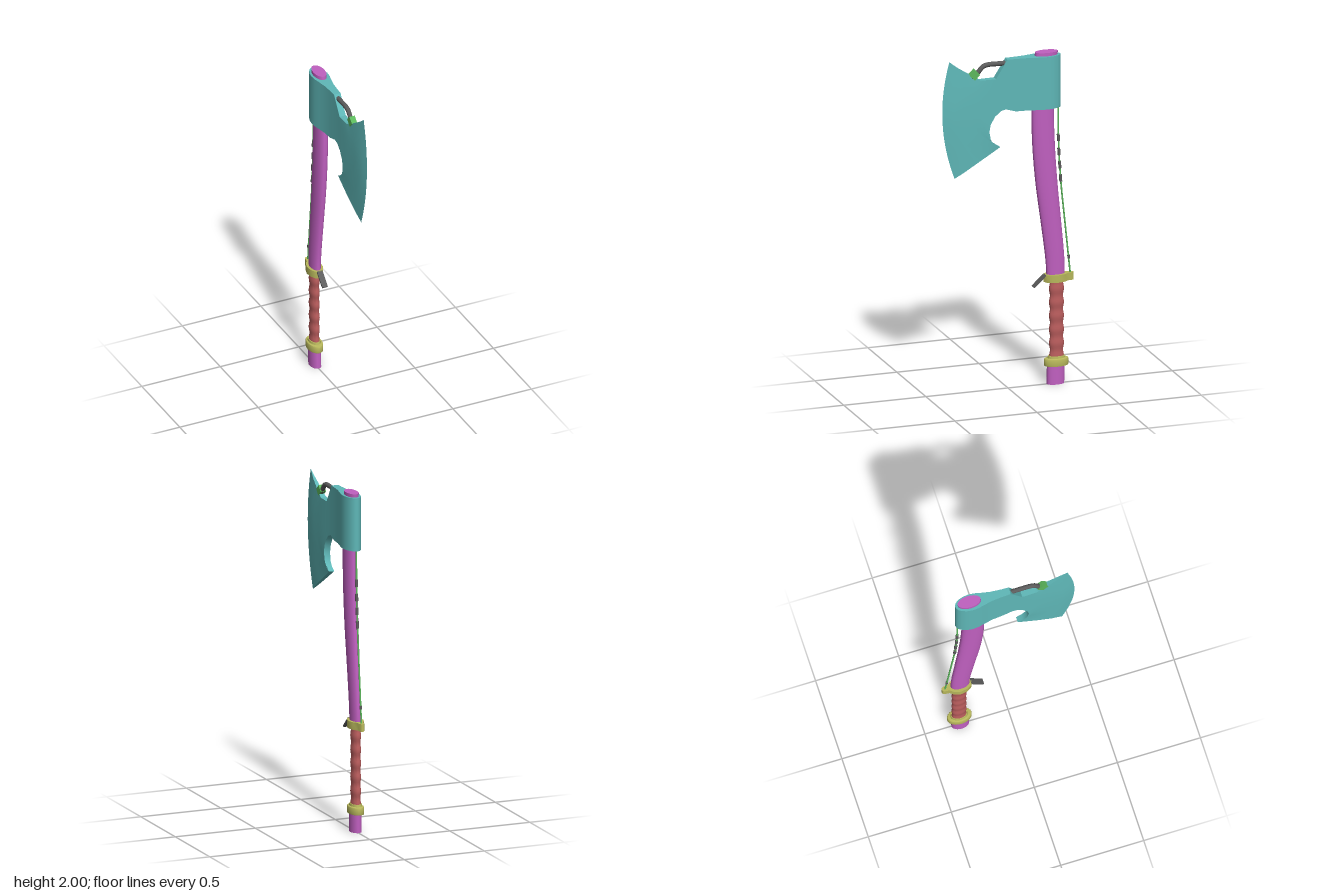
import * as THREE from 'three';
import { toCreasedNormals } from 'three/addons/utils/BufferGeometryUtils.js';

const mat = (color) => new THREE.MeshStandardMaterial({ color });
const WOOD = mat(0xc060c0), STEEL = mat(0x5fb8b8), GRIP = mat(0xb85c5c);
const BRASS = mat(0xb8b85c), CORD = mat(0x5cb85c), DARK = mat(0x5c5c5c);
const v = (x, y, z) => new THREE.Vector3(x, y, z);

// Skin closed rings of equal point count, in order
function skin(rings, crease = 0.6) {
  const n = rings[0].length, index = [];
  for (let i = 0; i < rings.length - 1; i++) {
    for (let j = 0; j < n; j++) {
      const k = (j + 1) % n, a = i * n + j, d = i * n + k;
      index.push(a, a + n, d + n, a, d + n, d);
    }
  }
  const g = new THREE.BufferGeometry().setFromPoints(rings.flat());
  g.setIndex(index);
  return toCreasedNormals(g, crease);
}

// Capped elliptical column from rows of [y, centre z, radius x, radius z]
function column(rows, sides = 24) {
  const first = rows[0], last = rows[rows.length - 1];
  const all = [[first[0], first[1], 0, 0], ...rows, [last[0], last[1], 0, 0]];
  return skin(all.map(([y, z, rx, rz]) => Array.from({ length: sides }, (_, j) => {
    const a = j / sides * Math.PI * 2;
    return v(rx * Math.cos(a), y, z + rz * Math.sin(a));
  })));
}

// Axe head section: top point to bottom point, bowed forward, mirrored in x
function headRing([tz, ty, bz, by, bow, h]) {
  const N = 16, left = [];
  for (let j = 0; j <= N; j++) {
    const t = j / N;
    left.push(v(h, ty + (by - ty) * t, tz + (bz - tz) * t + 4 * bow * t * (1 - t)));
  }
  return [...left, ...left.map((p) => v(-h, p.y, p.z)).reverse()];
}

export function createModel() {
  const model = new THREE.Group();
  const add = (name, geometry, material) => {
    const m = new THREE.Mesh(geometry, material);
    m.name = name;
    model.add(m);
    return m;
  };

  // Shaft: rows smoothed through a spline
  const spine = new THREE.CatmullRomCurve3([
    v(-0.29, 0.63, 0.055), v(-0.286, 0.74, 0.057), v(-0.258, 1.0, 0.062), v(-0.235, 1.2, 0.066),
    v(-0.217, 1.43, 0.068), v(-0.211, 1.66, 0.068), v(-0.22, 1.85, 0.069), v(-0.234, 2.0, 0.069),
  ]);
  add('shaft', column(spine.getPoints(28).map((p) => [p.y, p.x, p.z * 0.51, p.z])), WOOD);
  add('pommel', column([[0, -0.288, 0.033, 0.053], [0.13, -0.291, 0.032, 0.053]]), WOOD);

  // Grip with finger waves
  const waves = [];
  for (let i = 0; i <= 40; i++) {
    const s = 0.003 * Math.sin(i / 40 * Math.PI * 12);
    waves.push([0.14 + i / 40 * 0.49, -0.295, 0.026 + s * 0.7, 0.042 + s]);
  }
  add('grip', column(waves), GRIP);

  // Lower collar with its narrower neck
  add('lowerCollar', column([
    [0.11, -0.293, 0.043, 0.071], [0.115, -0.293, 0.044, 0.073], [0.146, -0.293, 0.044, 0.073],
    [0.152, -0.293, 0.042, 0.07], [0.155, -0.294, 0.034, 0.052], [0.168, -0.294, 0.032, 0.049],
  ]), BRASS);

  // Upper collar with rear lug
  const half = [[0.025, -0.23], [0.04, -0.26], [0.045, -0.3], [0.035, -0.335],
    [0.018, -0.358], [0.015, -0.385], [0.009, -0.397]];
  const outline = [[0, -0.217], ...half, [0, -0.4], ...half.map(([x, z]) => [-x, z]).reverse()];
  const collar = new THREE.ExtrudeGeometry(
    new THREE.Shape(outline.map(([x, z]) => new THREE.Vector2(x, z))),
    { depth: 0.045, bevelEnabled: false });
  collar.rotateX(Math.PI / 2).translate(0, 0.66, 0);
  add('upperCollar', toCreasedNormals(collar, 0.7), BRASS);

  // Lever in front of the upper collar
  const lever = add('lever', new THREE.BoxGeometry(0.034, 0.01, 0.1), DARK);
  lever.position.set(0, 0.625, -0.189);
  lever.rotation.x = 0.75;

  // Head: rounded eye, neck, bearded blade tapering to the edge
  const eye = [[-0.318, 0], [-0.315, 0.012], [-0.306, 0.024], [-0.288, 0.036], [-0.26, 0.046],
    [-0.225, 0.05], [-0.19, 0.047], [-0.15, 0.038], [-0.1, 0.028], [-0.04, 0.023]]
    .map(([z, h]) => [z, 1.98, z, 1.665, 0, h]);
  const blade = [
    [0.01, 1.98, 0.02, 1.683, 0, 0.021], [0.035, 1.94, 0.05, 1.675, 0, 0.02],
    [0.08, 1.87, 0.085, 1.645, 0.01, 0.02], [0.11, 1.87, 0.112, 1.6, 0.03, 0.02],
    [0.14, 1.87, 0.12, 1.555, 0.05, 0.019], [0.165, 1.87, 0.11, 1.505, 0.07, 0.018],
    [0.175, 1.872, 0.085, 1.475, 0.1, 0.017], [0.185, 1.877, 0.053, 1.458, 0.15, 0.016],
    [0.24, 1.912, 0.18, 1.38, 0.12, 0.013], [0.3, 1.95, 0.26, 1.33, 0.085, 0.008],
    [0.357, 1.995, 0.325, 1.29, 0.058, 0],
  ];
  add('axeHead', skin([...eye, ...blade].map(headRing), 0.5), STEEL);

  // Bent rod over the top notch, held by a block
  const rod = new THREE.CatmullRomCurve3([v(0, 1.955, 0), v(0, 1.956, 0.06), v(0, 1.956, 0.125),
    v(0, 1.948, 0.152), v(0, 1.925, 0.175), v(0, 1.895, 0.2)]);
  add('topRod', new THREE.TubeGeometry(rod, 24, 0.014, 10), DARK);
  const block = add('rodBlock', new THREE.BoxGeometry(0.034, 0.044, 0.046), CORD);
  block.position.set(0, 1.905, 0.206);
  block.rotation.x = 0.75;

  // Cord behind the shaft, with clamps
  const cord = new THREE.CatmullRomCurve3([v(0, 1.68, -0.306), v(0, 1.45, -0.308),
    v(0, 1.22, -0.321), v(0, 0.95, -0.348), v(0, 0.64, -0.38)]);
  add('cord', new THREE.TubeGeometry(cord, 30, 0.005, 8), CORD);
  for (const [y, z, r, len] of [[1.475, -0.307, 0.009, 0.042], [1.39, -0.31, 0.009, 0.042],
    [1.31, -0.315, 0.009, 0.042], [1.23, -0.32, 0.009, 0.042], [0.752, -0.369, 0.008, 0.02]]) {
    const clamp = add('cordClamp', new THREE.CylinderGeometry(r, r, len, 10), DARK);
    clamp.position.set(0, y, z);
    clamp.rotation.x = 0.07;
  }
  return model;
}
